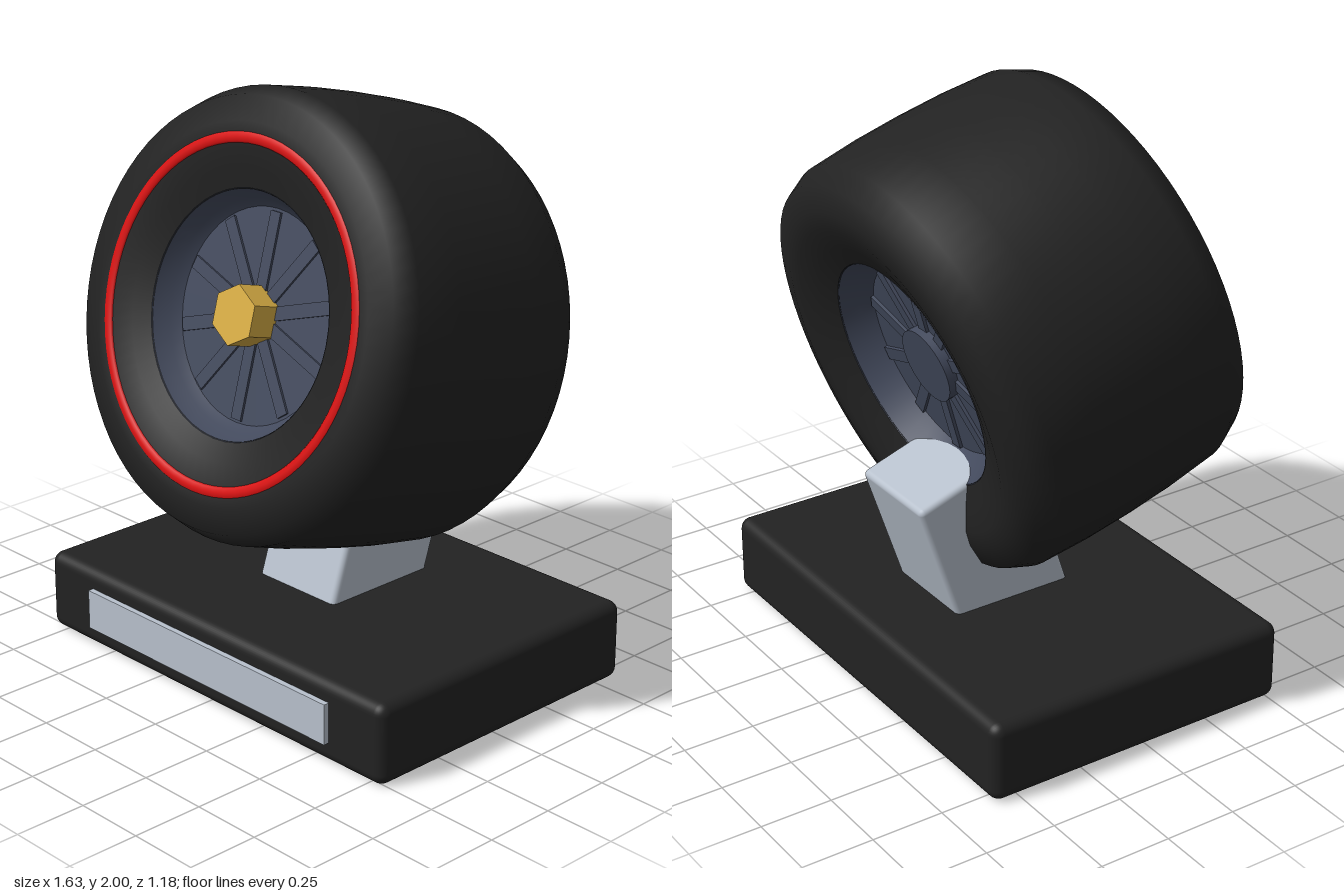
import * as THREE from 'three';
import { toCreasedNormals } from 'three/addons/utils/BufferGeometryUtils.js';
import { RoundedBoxGeometry } from 'three/addons/geometries/RoundedBoxGeometry.js';

const mat = (name, color) => {
  const m = new THREE.MeshStandardMaterial({ color });
  m.name = name;
  return m;
};

function add(parent, name, geometry, material, x = 0, y = 0, z = 0) {
  const mesh = new THREE.Mesh(geometry, material);
  mesh.name = name;
  mesh.position.set(x, y, z);
  parent.add(mesh);
  return mesh;
}

// Revolve [radius, depth] points about the wheel axle (z)
function revolve(points, segments) {
  const profile = points.map(([r, d]) => new THREE.Vector2(r, d));
  return new THREE.LatheGeometry(profile, segments).rotateX(Math.PI / 2);
}

export function createModel() {
  const rubber = mat('black rubber', 0x222222);
  const silver = mat('silver', 0xb8c1cd);
  const rimBlue = mat('dark blue metal', 0x434a5d);
  const red = mat('red', 0xd81010);
  const gold = mat('gold', 0xd9ae45);

  const model = new THREE.Group();
  model.name = 'wheelTrophy';

  // Plinth with a silver plate on its front
  add(model, 'base', new RoundedBoxGeometry(1.63, 0.28, 1.125, 4, 0.04), rubber, 0, 0.14, -0.033);
  add(model, 'namePlate', new THREE.BoxGeometry(1.16, 0.14, 0.04), silver, 0, 0.145, 0.53);

  // Leaning support block behind the wheel
  const support = add(model, 'support', new RoundedBoxGeometry(0.36, 0.6, 0.42, 3, 0.02), silver, 0, 0.484, -0.163);
  support.rotation.x = -0.32;

  // Wheel, tipped back
  const wheel = new THREE.Group();
  wheel.name = 'wheel';
  wheel.position.y = 1.205;
  wheel.rotation.x = -0.27;
  model.add(wheel);

  // Tyre with a slightly crowned tread and dished sidewalls
  const half = [[0.4, 0.385], [0.47, 0.412], [0.55, 0.437], [0.61, 0.437], [0.695, 0.415], [0.731, 0.34], [0.742, 0.17]];
  const tyreProfile = [
    ...half.map(([r, d]) => [r, -d]), [0.745, 0], ...half.slice().reverse(),
  ];
  add(wheel, 'tyre', revolve(tyreProfile, 72), rubber);

  // Red band on the front sidewall
  add(wheel, 'redBand', new THREE.TorusGeometry(0.56, 0.02, 8, 72).scale(1, 1, 0.5), red, 0, 0, 0.433);

  // Rim, dished on both sides
  const rimProfile = [
    [0, -0.29], [0.34, -0.29], [0.37, -0.33], [0.403, -0.388],
    [0.403, 0.388], [0.375, 0.33], [0.35, 0.3], [0, 0.3],
  ];
  add(wheel, 'rim', toCreasedNormals(revolve(rimProfile, 48), 0.5), rimBlue);

  // Low spokes on both faces
  const spokeCount = 10;
  for (let i = 0; i < spokeCount; i++) {
    const angle = (i / spokeCount) * Math.PI * 2;
    for (const [side, z] of [['front', 0.3], ['back', -0.293]]) {
      const spoke = new THREE.BoxGeometry(0.045, 0.3, 0.016).translate(0, 0.19, 0);
      add(wheel, side + 'Spoke', spoke, rimBlue, 0, 0, z).rotation.z = angle;
    }
  }

  // Rear hub cap and the golden hexagonal nut
  add(wheel, 'rearHub', new THREE.CylinderGeometry(0.13, 0.13, 0.05, 32).rotateX(Math.PI / 2), rimBlue, 0, 0, -0.3);
  add(wheel, 'nut', new THREE.CylinderGeometry(0.1, 0.1, 0.12, 6, 1).toNonIndexed().rotateX(Math.PI / 2), gold, 0, 0, 0.345)
    .geometry.computeVertexNormals();

  return model;
}
